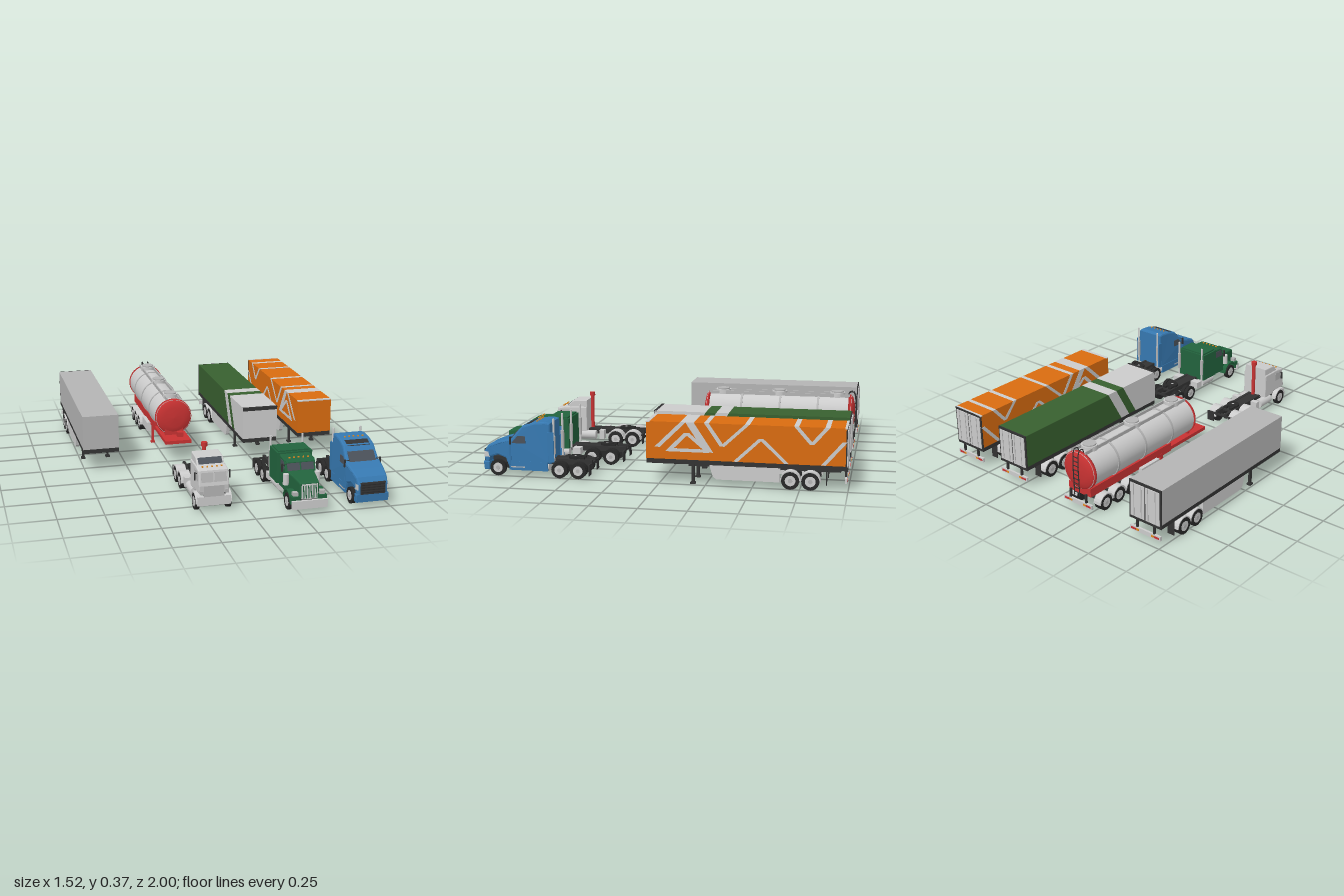
import * as THREE from 'three';

const mat = (color) => new THREE.MeshStandardMaterial({ color });
const M = {
  grey: mat(0xcccccc), mid: mat(0xb4b4b4), dark: mat(0x333333), tyre: mat(0x282828),
  red: mat(0xc83232), orange: mat(0xd96c10), leaf: mat(0x38602f), green: mat(0x22633d),
  blue: mat(0x3678b0), glass: mat(0x4a5058), amber: mat(0xe08a20),
};
const BOTH = [-1, 1];

function add(g, name, geo, m) {
  const mesh = new THREE.Mesh(geo, m);
  mesh.name = name;
  g.add(mesh);
  return mesh;
}
// Box given by its ranges
function box(g, name, m, x0, x1, y0, y1, z0, z1) {
  return add(g, name, new THREE.BoxGeometry(x1 - x0, y1 - y0, z1 - z0), m)
    .position.set((x0 + x1) / 2, (y0 + y1) / 2, (z0 + z1) / 2);
}
function pair(g, name, m, x0, x1, y0, y1, z0, z1) {
  for (const s of BOTH) box(g, name, m, Math.min(s * x0, s * x1), Math.max(s * x0, s * x1), y0, y1, z0, z1);
}
function cyl(g, name, m, r, len, axis, x, y, z, sides = 20) {
  const geo = new THREE.CylinderGeometry(r, r, len, sides);
  if (axis === 'x') geo.rotateZ(Math.PI / 2);
  if (axis === 'z') geo.rotateX(Math.PI / 2);
  return add(g, name, geo, m).position.set(x, y, z);
}
// Side profile of [z, y] points, extruded over width w; narrow(y, z) scales the width
function profile(g, name, m, pts, w, { x = 0, bevel = 0, narrow } = {}) {
  const geo = new THREE.ExtrudeGeometry(new THREE.Shape(pts.map((p) => new THREE.Vector2(...p))), {
    depth: w - 2 * bevel, bevelEnabled: bevel > 0, bevelSize: bevel, bevelThickness: bevel, bevelOffset: -bevel, bevelSegments: 2,
  });
  geo.rotateY(-Math.PI / 2).translate(w / 2 - bevel, 0, 0);
  if (narrow) {
    const p = geo.attributes.position;
    for (let i = 0; i < p.count; i++) p.setX(i, p.getX(i) * narrow(p.getY(i), p.getZ(i)));
    geo.computeVertexNormals();
  }
  add(g, name, geo, m).position.x = x;
}
// Half-ring mudguard above a wheel
function fender(g, m, x, y, z, r, w) {
  const pts = [];
  for (let i = 0; i <= 10; i++) pts.push([z + r * Math.cos(i * Math.PI / 10), y + r * Math.sin(i * Math.PI / 10)]);
  for (let i = 10; i >= 0; i--) pts.push([z + (r - 0.006) * Math.cos(i * Math.PI / 10), y + (r - 0.006) * Math.sin(i * Math.PI / 10)]);
  for (const s of BOTH) profile(g, 'fender', m, pts, w, { x: s * x });
}
function axle(g, z, outer, dual, r = 0.045) {
  cyl(g, 'axle', M.dark, 0.008, outer * 2 - 0.03, 'x', 0, r, z, 8);
  for (const s of BOTH) {
    for (let i = 0; i < (dual ? 2 : 1); i++) cyl(g, 'tyre', M.tyre, r, 0.021, 'x', s * (outer - 0.011 - i * 0.025), r, z, 24);
    cyl(g, 'wheelRim', M.grey, r * 0.6, 0.022, 'x', s * (outer - 0.0105), r, z);
    cyl(g, 'wheelHub', M.mid, r * 0.25, 0.026, 'x', s * (outer - 0.011), r, z, 10);
  }
}
function rearBumper(g, z) {
  box(g, 'rearBumper', M.grey, -0.1, 0.1, 0.045, 0.07, z, z + 0.012);
  pair(g, 'bumperBracket', M.dark, 0.05, 0.06, 0.07, 0.12, z + 0.002, z + 0.014);
  pair(g, 'tailLight', M.red, 0.06, 0.092, 0.052, 0.063, z - 0.002, z);
  pair(g, 'indicator', M.amber, 0.04, 0.058, 0.052, 0.063, z - 0.002, z);
}
function landingLegs(g, m, z) {
  pair(g, 'landingLeg', m, 0.068, 0.08, 0.01, 0.12, z - 0.009, z + 0.009);
  pair(g, 'landingFoot', m, 0.062, 0.086, 0, 0.01, z - 0.014, z + 0.014);
  box(g, 'legBrace', m, -0.07, 0.07, 0.09, 0.1, z - 0.004, z + 0.004);
}

// Box trailer shared by three of the vehicles
function boxTrailer(name, x, m, z1, top) {
  const g = new THREE.Group(), W = 0.104, z0 = -0.985;
  g.name = name;
  g.position.x = x;
  box(g, 'cargoBody', m, -W, W, 0.136, top, z0, z1);
  box(g, 'floorRail', M.dark, -W + 0.001, W - 0.001, 0.112, 0.136, z0, z1 - 0.001);
  pair(g, 'chassisRail', M.dark, 0.035, 0.05, 0.09, 0.112, -0.96, -0.15);
  box(g, 'kingpinPlate', M.tyre, -0.08, 0.08, 0.105, 0.112, z1 - 0.2, z1 - 0.02);
  landingLegs(g, M.dark, -0.18);
  for (const s of BOTH) {
    profile(g, 'sideSkirt', M.grey, [[-0.27, 0.115], [-0.29, 0.05], [-0.31, 0.035], [-0.645, 0.035], [-0.645, 0.115]], 0.022, { x: s * 0.09 });
  }
  for (const z of [-0.7, -0.805]) {
    axle(g, z, 0.107, true, 0.047);
    fender(g, M.grey, 0.083, 0.047, z, 0.054, 0.044);
  }
  // Rear frame and doors
  box(g, 'doorFrame', M.dark, -W, W, 0.112, top, z0 - 0.006, z0);
  for (const s of BOTH) {
    box(g, 'rearDoor', M.grey, s * 0.049 - 0.045, s * 0.049 + 0.045, 0.13, top - 0.014, z0 - 0.01, z0 - 0.006);
    for (const dx of [0.022, 0.07]) cyl(g, 'lockRod', M.mid, 0.002, top - 0.15, 'y', s * dx, (top + 0.12) / 2, z0 - 0.012, 6);
  }
  pair(g, 'mudFlap', M.dark, 0.06, 0.103, 0.03, 0.112, -0.89, -0.886);
  rearBumper(g, -0.995);
  return g;
}

function plainTrailer() {
  return boxTrailer('greyBoxTrailer', -0.655, M.mid, 0.07, 0.335);
}
function greenTrailer() {
  const g = boxTrailer('greenBoxTrailer', 0.293, M.leaf, 0.1, 0.325), t = 0.326, b = 0.136;
  // Slanted light bands wrap the sides and the roof
  profile(g, 'lightFront', M.grey, [[0.101, b], [0.101, t], [-0.19, t], [-0.08, b]], 0.21);
  profile(g, 'lightBand', M.grey, [[-0.25, t], [-0.32, t], [-0.21, b], [-0.14, b]], 0.21);
  box(g, 'frontHeader', M.dark, -0.105, 0.105, 0.308, 0.328, 0.09, 0.104);
  return g;
}
function orangeTrailer() {
  const g = boxTrailer('orangeBoxTrailer', 0.645, M.orange, 0.07, 0.337), t = 0.338, b = 0.137;
  // Zigzag strokes; those reaching the top edge carry on over the roof
  const strokes = [
    [-0.165, t, -0.27, 0.18, 0.045], [-0.13, t, 0.01, 0.2, 0.03], [-0.15, 0.28, -0.05, 0.18, 0.03], [-0.15, 0.28, -0.27, 0.18, 0.03],
    [-0.255, t, -0.34, 0.215, 0.025], [-0.472, t, -0.34, 0.215, 0.025],
    [-0.41, b, -0.545, 0.265, 0.025], [-0.68, b, -0.545, 0.265, 0.025],
    [-0.728, t, -0.81, 0.245, 0.025], [-0.89, t, -0.81, 0.245, 0.025], [-0.87, b, -0.98, 0.265, 0.025],
  ];
  for (const [za, ya, zb, yb, d] of strokes) {
    const pts = [[za - d / 2, ya], [za + d / 2, ya], [zb + d / 2, yb], [zb - d / 2, yb]];
    profile(g, 'zigzagStripe', M.grey, THREE.ShapeUtils.isClockWise(pts.map(([x, y]) => ({ x, y }))) ? pts.reverse() : pts, 0.21);
  }
  box(g, 'triangleBase', M.grey, -0.105, 0.105, 0.178, 0.196, -0.27, -0.05);
  box(g, 'frontTrim', M.grey, -0.105, 0.105, t - 0.006, t, 0.05, 0.071);
  box(g, 'rearTrim', M.grey, -0.105, 0.105, t - 0.006, t, -0.991, -0.978);
  return g;
}

function tanker() {
  const g = new THREE.Group(), cy = 0.24, R = 0.111;
  g.name = 'tankTrailer';
  g.position.x = -0.185;
  cyl(g, 'tank', M.grey, R - 0.004, 0.86, 'z', 0, cy, -0.54, 40);
  // Dished red ends
  const dish = [[0.0001, 0.025], [0.06, 0.022], [0.095, 0.013], [R, 0], [R, -0.012], [0.0001, -0.012]].reverse().map((p) => new THREE.Vector2(...p));
  for (const s of BOTH) add(g, 'tankEnd', new THREE.LatheGeometry(dish, 40).rotateX(s * Math.PI / 2), M.red).position.set(0, cy, -0.54 + s * 0.425);
  for (const z of [-0.32, -0.55, -0.775]) cyl(g, 'tankBand', M.mid, R, 0.012, 'z', 0, cy, z, 40);
  pair(g, 'walkwayRail', M.mid, 0.034, 0.04, 0.335, 0.358, -0.96, -0.12);
  for (const z of [-0.2, -0.54, -0.885]) {
    cyl(g, 'hatchCollar', M.grey, 0.045, 0.03, 'y', 0, 0.35, z, 24);
    cyl(g, 'hatchLid', M.mid, 0.037, 0.01, 'y', 0, 0.367, z, 24);
  }
  // Red underframe and front deck
  box(g, 'frontDeck', M.red, -0.078, 0.078, 0.112, 0.132, -0.36, 0.02);
  box(g, 'subframe', M.red, -0.078, 0.078, 0.105, 0.155, -0.97, -0.3);
  box(g, 'frontSaddle', M.red, -0.055, 0.055, 0.13, 0.2, -0.12, -0.1);
  box(g, 'valveBox', M.red, 0.01, 0.045, 0.13, 0.16, -0.08, -0.045);
  landingLegs(g, M.red, -0.385);
  pair(g, 'hoseLocker', M.grey, 0.075, 0.1, 0.06, 0.115, -0.58, -0.43);
  for (const z of [-0.67, -0.775, -0.88]) {
    axle(g, z, 0.107, true);
    fender(g, M.grey, 0.085, 0.047, z, 0.053, 0.048);
  }
  rearBumper(g, -0.99);
  // Ladder with a hoop over the top
  for (const s of BOTH) {
    const path = new THREE.CatmullRomCurve3([[0.1, -0.992], [0.34, -0.992], [0.37, -0.98], [0.365, -0.955], [0.34, -0.95]].map(([y, z]) => new THREE.Vector3(s * 0.018, y, z)));
    add(g, 'ladderRail', new THREE.TubeGeometry(path, 24, 0.003, 6), M.dark);
  }
  for (let i = 0; i < 9; i++) cyl(g, 'ladderRung', M.dark, 0.0025, 0.036, 'x', 0, 0.12 + i * 0.026, -0.992, 6);
  return g;
}

// Tractor running gear
function tractor(name, x, rear, front, axles, fifth, frontAxle) {
  const g = new THREE.Group();
  g.name = name;
  g.position.x = x;
  pair(g, 'chassisRail', M.dark, 0.026, 0.042, 0.065, 0.095, rear, front);
  box(g, 'chassisDeck', M.dark, -0.042, 0.042, 0.08, 0.092, rear + 0.06, front);
  box(g, 'rearCrossbar', M.dark, -0.1, 0.1, 0.07, 0.08, rear, rear + 0.008);
  pair(g, 'mudFlap', M.dark, 0.055, 0.1, 0.02, 0.07, rear, rear + 0.004);
  cyl(g, 'fifthWheel', M.tyre, 0.037, 0.014, 'y', 0, 0.101, fifth, 24);
  cyl(g, 'couplingHole', M.mid, 0.008, 0.016, 'y', 0, 0.101, fifth, 12);
  pair(g, 'couplingRamp', M.tyre, 0.01, 0.03, 0.092, 0.105, fifth - 0.055, fifth);
  for (const z of axles) axle(g, z, 0.1, true);
  axle(g, frontAxle, 0.098, false);
  return g;
}
function stacks(g, x, z, top) {
  for (const s of BOTH) {
    cyl(g, 'exhaustStack', M.grey, 0.006, top - 0.09, 'y', s * x, (top + 0.09) / 2, z, 12);
    cyl(g, 'exhaustMuffler', M.mid, 0.01, 0.1, 'y', s * x, 0.18, z, 12);
  }
}
function cabFittings(g, x, y, z, roofY, roofZ) {
  for (const s of BOTH) {
    box(g, 'mirror', M.dark, s * x - 0.004, s * x + 0.004, y - 0.022, y + 0.022, z - 0.004, z + 0.004);
    cyl(g, 'mirrorArm', M.dark, 0.002, 0.03, 'x', s * (x - 0.012), y + 0.015, z, 6);
    cyl(g, 'fuelTank', M.grey, 0.027, 0.11, 'z', s * 0.068, 0.062, z - 0.16);
  }
  for (let i = -2; i <= 2; i++) box(g, 'roofLight', M.amber, i * 0.026 - 0.004, i * 0.026 + 0.004, roofY, roofY + 0.006, roofZ - 0.004, roofZ + 0.004);
}

function whiteTruck() {
  const g = tractor('flatFrontTruck', -0.182, 0.285, 0.82, [0.35, 0.455], 0.41, 0.785);
  profile(g, 'cab', M.grey, [[0.64, 0.085], [0.73, 0.085], [0.735, 0.1], [0.835, 0.1], [0.84, 0.145], [0.825, 0.225], [0.77, 0.235], [0.64, 0.235]], 0.164, { bevel: 0.006 });
  profile(g, 'roofFairing', M.grey, [[0.64, 0.23], [0.775, 0.23], [0.73, 0.272], [0.64, 0.276]], 0.15, { bevel: 0.005 });
  profile(g, 'fairingBand', M.glass, [[0.764, 0.242], [0.768, 0.242], [0.738, 0.268], [0.732, 0.268]], 0.13);
  for (const s of BOTH) profile(g, 'windscreen', M.mid, [[0.838, 0.165], [0.841, 0.165], [0.829, 0.215], [0.826, 0.215]], 0.066, { x: s * 0.036 });
  profile(g, 'sideWindow', M.mid, [[0.75, 0.165], [0.818, 0.165], [0.808, 0.215], [0.75, 0.215]], 0.166);
  box(g, 'grille', M.mid, -0.055, 0.055, 0.085, 0.145, 0.83, 0.843);
  box(g, 'frontBumper', M.grey, -0.09, 0.09, 0.035, 0.085, 0.815, 0.842);
  pair(g, 'headlight', M.mid, 0.06, 0.078, 0.1, 0.12, 0.835, 0.845);
  fender(g, M.grey, 0.084, 0.047, 0.785, 0.054, 0.03);
  for (const z of [0.35, 0.455]) fender(g, M.grey, 0.073, 0.047, z, 0.054, 0.056);
  pair(g, 'sideLocker', M.grey, 0.048, 0.092, 0.04, 0.095, 0.53, 0.56);
  // Red intake column behind the cab
  cyl(g, 'intakeColumn', M.red, 0.011, 0.2, 'y', 0, 0.195, 0.625, 14);
  cyl(g, 'intakeCap', M.red, 0.017, 0.022, 'y', 0, 0.306, 0.625, 14);
  cabFittings(g, 0.095, 0.19, 0.8, 0.234, 0.795);
  return g;
}

function greenTruck() {
  const g = tractor('longNoseTruck', 0.295, 0.285, 0.97, [0.36, 0.47], 0.405, 0.905);
  box(g, 'sleeper', M.green, -0.1, 0.1, 0.085, 0.258, 0.605, 0.735);
  box(g, 'sleeperRoof', M.green, -0.09, 0.09, 0.255, 0.266, 0.615, 0.725);
  profile(g, 'cab', M.green, [[0.73, 0.075], [0.84, 0.075], [0.84, 0.185], [0.815, 0.243], [0.73, 0.25]], 0.172, { bevel: 0.006 });
  for (const s of BOTH) profile(g, 'windscreen', M.glass, [[0.84, 0.19], [0.843, 0.19], [0.823, 0.235], [0.816, 0.235]], 0.07, { x: s * 0.039 });
  profile(g, 'sideWindow', M.glass, [[0.755, 0.19], [0.825, 0.19], [0.808, 0.232], [0.755, 0.232]], 0.174);
  profile(g, 'sunVisor', M.green, [[0.81, 0.24], [0.84, 0.232], [0.84, 0.236], [0.81, 0.246]], 0.16);
  profile(g, 'bonnet', M.green, [[0.83, 0.085], [0.985, 0.085], [0.985, 0.165], [0.97, 0.173], [0.83, 0.188]], 0.15, { bevel: 0.008, narrow: (y, z) => 1 - 1.9 * (z - 0.83) });
  box(g, 'grille', M.grey, -0.044, 0.044, 0.08, 0.162, 0.982, 0.99);
  for (let i = -4; i <= 4; i++) box(g, 'grilleBar', M.green, i * 0.009 - 0.0015, i * 0.009 + 0.0015, 0.085, 0.156, 0.99, 0.992);
  box(g, 'frontBumper', M.grey, -0.098, 0.098, 0.03, 0.075, 0.985, 1);
  fender(g, M.green, 0.075, 0.05, 0.905, 0.062, 0.048);
  pair(g, 'fenderNose', M.green, 0.05, 0.098, 0.07, 0.095, 0.955, 0.985);
  pair(g, 'headlight', M.mid, 0.06, 0.088, 0.098, 0.118, 0.955, 0.982);
  for (const s of BOTH) cyl(g, 'airCleaner', M.grey, 0.016, 0.06, 'y', s * 0.088, 0.15, 0.855);
  box(g, 'rearStep', M.grey, -0.098, 0.098, 0.05, 0.09, 0.54, 0.585);
  stacks(g, 0.092, 0.593, 0.31);
  cabFittings(g, 0.1, 0.205, 0.825, 0.246, 0.8);
  return g;
}

function blueTruck() {
  const g = tractor('aeroTruck', 0.65, 0.385, 0.95, [0.45, 0.555], 0.49, 0.905);
  // The body narrows toward the roof and the nose
  const narrow = (y, z) => (1 - 0.9 * Math.max(0, y - 0.2)) * (1 - 1.2 * Math.max(0, z - 0.86));
  profile(g, 'cab', M.blue, [[0.605, 0.075], [0.835, 0.075], [0.835, 0.2], [0.765, 0.28], [0.7, 0.3], [0.635, 0.306], [0.605, 0.3]], 0.194, { bevel: 0.01, narrow });
  profile(g, 'bonnet', M.blue, [[0.825, 0.06], [0.845, 0.06], [0.86, 0.1], [0.905, 0.115], [0.95, 0.1], [0.965, 0.05], [0.985, 0.06], [0.988, 0.13], [0.965, 0.165], [0.9, 0.19], [0.825, 0.21]], 0.2, { bevel: 0.01, narrow });
  profile(g, 'windscreen', M.glass, [[0.832, 0.206], [0.837, 0.206], [0.797, 0.252], [0.79, 0.252]], 0.15);
  profile(g, 'sideWindow', M.glass, [[0.745, 0.185], [0.825, 0.185], [0.79, 0.225], [0.745, 0.225]], 0.196, { narrow });
  profile(g, 'roofVent', M.dark, [[0.766, 0.278], [0.772, 0.276], [0.725, 0.296], [0.72, 0.294]], 0.13);
  box(g, 'grille', M.dark, -0.07, 0.07, 0.075, 0.14, 0.97, 0.991);
  for (let i = 0; i < 4; i++) box(g, 'grilleBar', M.tyre, -0.065, 0.065, 0.084 + i * 0.014, 0.088 + i * 0.014, 0.99, 0.993);
  profile(g, 'frontBumper', M.blue, [[0.955, 0.03], [0.985, 0.03], [0.99, 0.075], [0.955, 0.075]], 0.185, { bevel: 0.004 });
  pair(g, 'headlight', M.grey, 0.072, 0.088, 0.1, 0.13, 0.955, 0.985);
  pair(g, 'sideSkirt', M.blue, 0.085, 0.098, 0.035, 0.085, 0.62, 0.84);
  pair(g, 'sideExtender', M.blue, 0.088, 0.095, 0.085, 0.25, 0.585, 0.62);
  pair(g, 'step', M.mid, 0.086, 0.1, 0.05, 0.056, 0.75, 0.83);
  stacks(g, 0.08, 0.588, 0.325);
  cabFittings(g, 0.102, 0.2, 0.83, 0.301, 0.69);
  return g;
}

export function createModel() {
  const model = new THREE.Group();
  model.name = 'truckFleet';
  model.add(plainTrailer(), tanker(), greenTrailer(), orangeTrailer(), whiteTruck(), greenTruck(), blueTruck());
  return model;
}
